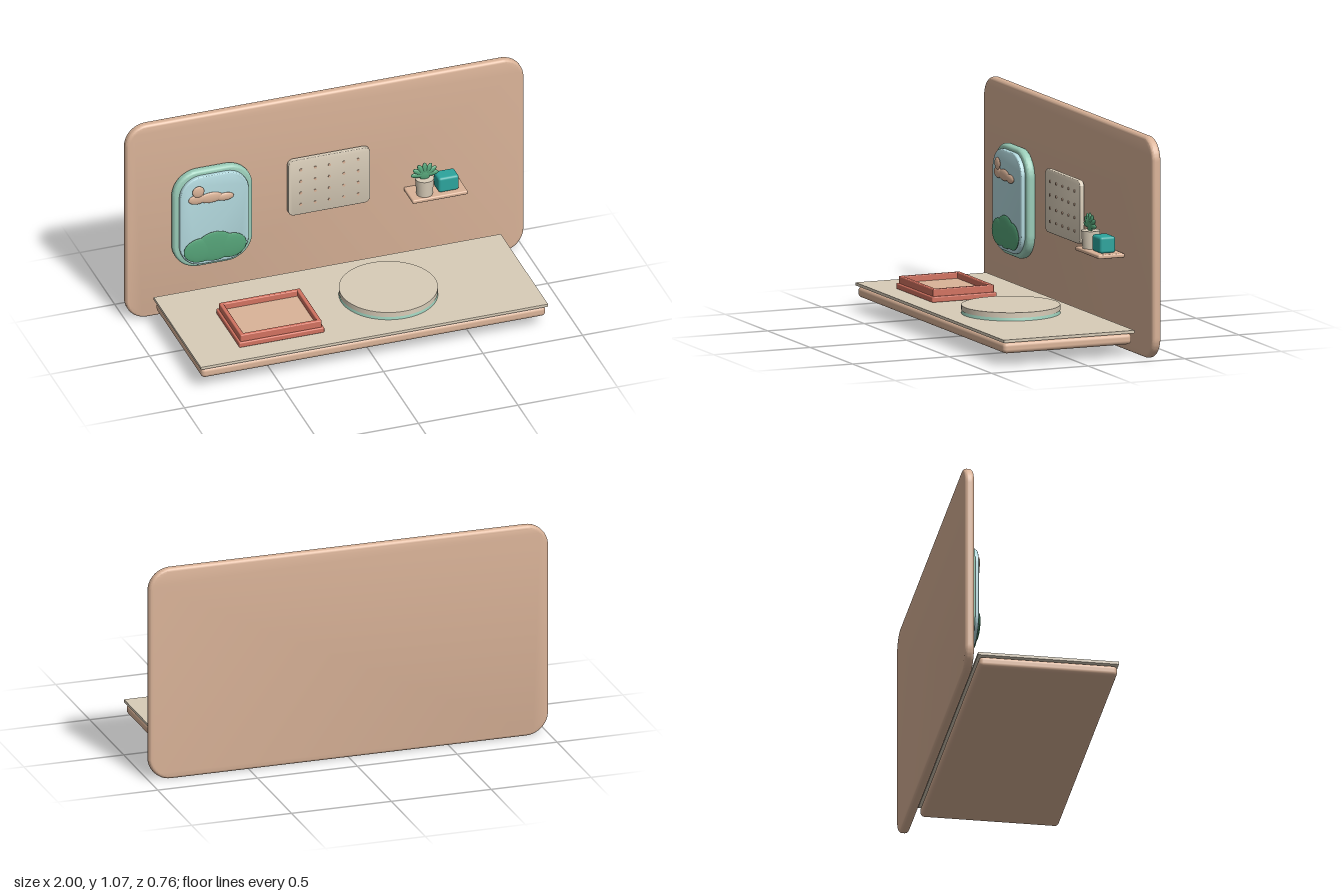
import * as THREE from 'three';
import { toCreasedNormals } from 'three/addons/utils/BufferGeometryUtils.js';
import { RoundedBoxGeometry } from 'three/addons/geometries/RoundedBoxGeometry.js';

const mat = (name, color) => {
  const m = new THREE.MeshStandardMaterial({ color });
  m.name = name;
  return m;
};

function roundedRect(path, w, h, r) {
  const x = w / 2, y = h / 2;
  path.moveTo(x, -y + r);
  path.lineTo(x, y - r);
  path.absarc(x - r, y - r, r, 0, Math.PI / 2);
  path.absarc(-x + r, y - r, r, Math.PI / 2, Math.PI);
  path.absarc(-x + r, -y + r, r, Math.PI, Math.PI * 1.5);
  path.absarc(x - r, -y + r, r, Math.PI * 1.5, Math.PI * 2);
  return path;
}

// Upright plate with rounded corners and softened rims, centred on its origin
function plate(w, h, d, r, bevel) {
  const shape = roundedRect(new THREE.Shape(), w - 2 * bevel, h - 2 * bevel, r - bevel);
  const g = new THREE.ExtrudeGeometry(shape, {
    depth: d - 2 * bevel, bevelEnabled: true, bevelSize: bevel, bevelThickness: bevel,
    bevelSegments: 5, curveSegments: 12,
  });
  g.translate(0, 0, -(d - 2 * bevel) / 2);
  return toCreasedNormals(g, 0.6);
}

export function createModel() {
  const tan = mat('tan', 0xdab398);
  const beige = mat('beige', 0xd8ccb8);
  const red = mat('coral red', 0xd27260);
  const sage = mat('sage frame', 0x9accb8);
  const sky = mat('sky blue', 0xb2d8dd);
  const leafGreen = mat('leaf green', 0x55a378);
  const teal = mat('teal', 0x2ca49d);

  const model = new THREE.Group();
  model.name = 'deskNook';
  const group = (name) => {
    const g = new THREE.Group();
    g.name = name;
    model.add(g);
    return g;
  };
  const add = (parent, name, geometry, material, x, y, z) => {
    const m = new THREE.Mesh(geometry, material);
    m.name = name;
    m.position.set(x, y, z);
    parent.add(m);
    return m;
  };
  const ball = new THREE.SphereGeometry(1, 28, 18);
  const blob = (parent, name, material, x, y, z, rx, ry, rz) => {
    const m = add(parent, name, ball, material, x, y, z);
    m.scale.set(rx, ry, rz);
    return m;
  };

  // Back wall
  add(model, 'backWall', plate(2, 1.065, 0.045, 0.11, 0.016), tan, 0, 0.5325, -0.3575);

  // Desk slab and its thin top sheet
  const desk = group('desk');
  add(desk, 'deskSlab', new RoundedBoxGeometry(1.73, 0.053, 0.665, 4, 0.02), tan, -0.003, 0.0875, 0.042);
  add(desk, 'deskTop', new THREE.BoxGeometry(1.744, 0.014, 0.677), beige, -0.003, 0.123, 0.041);

  // Tray: slab, floor and four rim bars
  const tray = group('tray');
  tray.position.set(-0.43, 0, 0.105);
  add(tray, 'trayBase', new RoundedBoxGeometry(0.428, 0.028, 0.335, 3, 0.006), red, 0, 0.143, 0);
  add(tray, 'trayFloor', new THREE.BoxGeometry(0.385, 0.008, 0.29), tan, 0, 0.158, 0);
  for (const s of [-1, 1]) {
    add(tray, 'trayLongRim', new RoundedBoxGeometry(0.408, 0.042, 0.02, 3, 0.005), red, 0, 0.171, s * 0.148);
    add(tray, 'traySideRim', new RoundedBoxGeometry(0.02, 0.042, 0.3, 3, 0.005), red, s * 0.194, 0.171, 0);
  }

  // Round pad on a sage base
  const pad = group('roundPad');
  add(pad, 'padBase', new THREE.CylinderGeometry(0.232, 0.236, 0.017, 64), sage, 0.185, 0.1365, 0.042);
  add(pad, 'padTop', new THREE.CylinderGeometry(0.235, 0.235, 0.025, 64), beige, 0.185, 0.1575, 0.042);

  // Window with a small landscape
  const win = group('window');
  win.position.set(-0.577, 0.522, 0);
  add(win, 'windowFrame', plate(0.4, 0.53, 0.044, 0.13, 0.016), sage, 0, 0, -0.314);
  add(win, 'windowPane', plate(0.345, 0.485, 0.025, 0.11, 0.008), sky, 0, 0, -0.2845);
  for (const [x, y, rx, ry] of [[-0.073, -0.157, 0.085, 0.066], [0, -0.147, 0.1, 0.08], [0.077, -0.157, 0.08, 0.066]])
    blob(win, 'bush', leafGreen, x, y, -0.265, rx, ry, 0.008);
  blob(win, 'sun', tan, -0.086, 0.17, -0.262, 0.03, 0.03, 0.008);
  for (const [x, y, rx, ry] of [[-0.09, 0.126, 0.044, 0.026], [-0.02, 0.124, 0.06, 0.028], [0.05, 0.116, 0.044, 0.021]])
    blob(win, 'cloud', tan, x, y, -0.267, rx, ry, 0.009);

  // Pegboard with a grid of pegs
  const board = group('pegboard');
  board.position.set(0.01, 0.59, -0.314);
  add(board, 'board', plate(0.412, 0.305, 0.024, 0.03, 0.005), beige, 0, 0, 0);
  const pegGeo = new THREE.CylinderGeometry(0.007, 0.007, 0.006, 12).rotateX(Math.PI / 2);
  for (let i = 0; i < 5; i++)
    for (let j = 0; j < 4; j++)
      add(board, 'peg', pegGeo, tan, (i - 2) * 0.072, (j - 1.5) * 0.064, 0.012);

  // Shelf with a potted plant and a box
  const shelf = group('shelf');
  add(shelf, 'shelfBoard', new RoundedBoxGeometry(0.278, 0.02, 0.136, 3, 0.007), tan, 0.532, 0.456, -0.267);
  add(shelf, 'pot', new THREE.CylinderGeometry(0.045, 0.039, 0.087, 32), beige, 0.468, 0.508, -0.247);
  add(shelf, 'box', new RoundedBoxGeometry(0.103, 0.08, 0.08, 4, 0.013), teal, 0.584, 0.505, -0.264);

  // Fan of flat leaves around the top of the pot
  for (let i = 0; i < 7; i++) {
    const a = (i - 3) * 0.5;
    const leaf = blob(shelf, 'leaf', leafGreen,
      0.468 + Math.sin(a) * 0.036, 0.573 + Math.cos(a) * 0.03, -0.244, 0.014, 0.034, 0.009);
    leaf.rotation.z = -a;
  }
  blob(shelf, 'plantHeart', leafGreen, 0.468, 0.572, -0.244, 0.028, 0.03, 0.009);

  return model;
}
